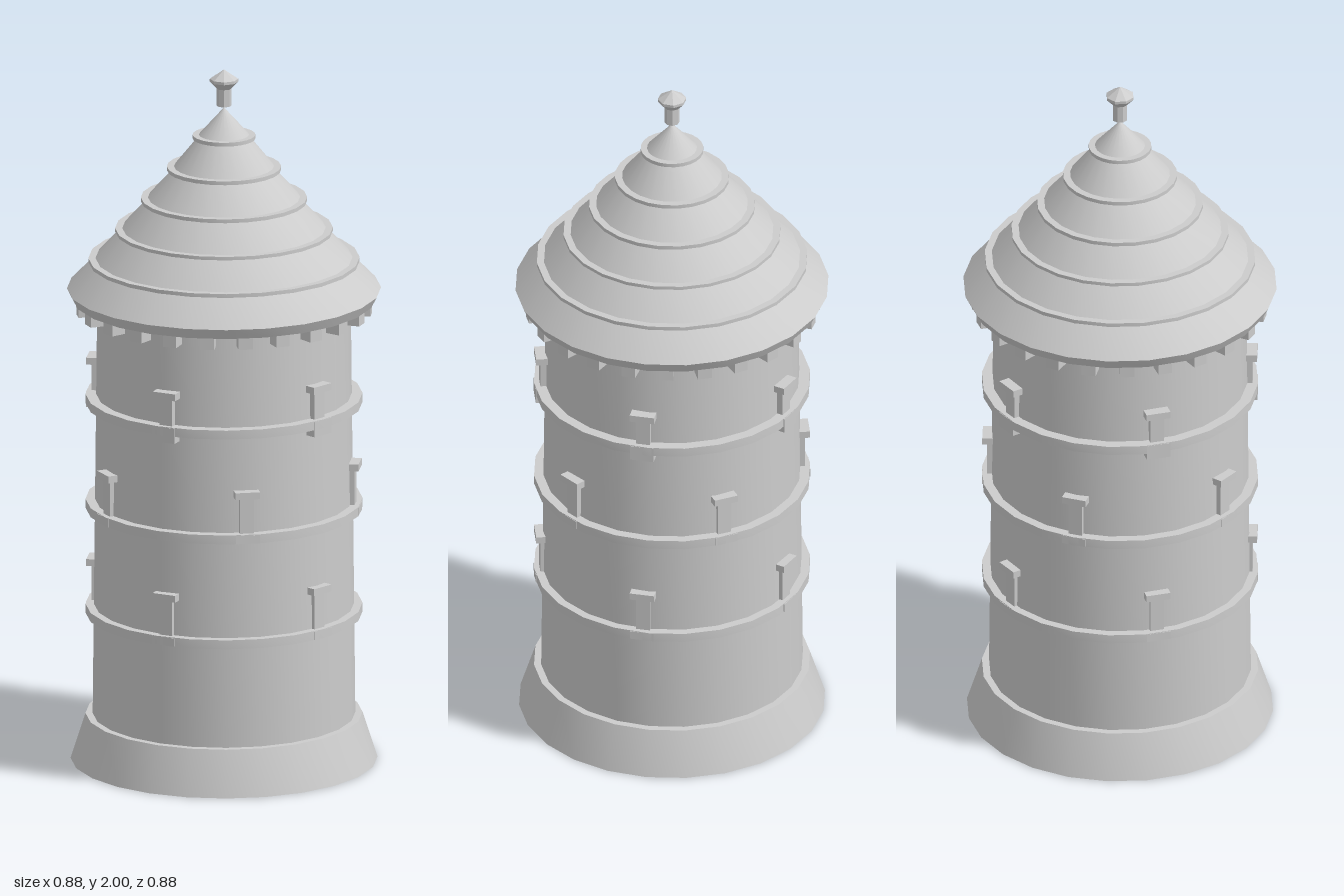
import * as THREE from 'three';
import { toCreasedNormals } from 'three/addons/utils/BufferGeometryUtils.js';

export function createModel() {
  const tower = new THREE.Group();
  tower.name = 'tower';
  const stone = new THREE.MeshStandardMaterial({ color: 0xcccccc });
  stone.name = 'pale stone';

  const add = (name, geometry, parent = tower) => {
    const mesh = new THREE.Mesh(geometry, stone);
    mesh.name = name;
    parent.add(mesh);
    return mesh;
  };
  // Turned part from [radius, height] pairs, listed bottom to top on the outside
  const turned = (name, profile, sides = 24, crease = 0.5) => {
    const points = profile.map(([r, y]) => new THREE.Vector2(r, y));
    return add(name, toCreasedNormals(new THREE.LatheGeometry(points, sides), crease));
  };
  // Box placed at an angle around the tower, spanning inner to outer radius
  const radialBox = (name, parent, angle, width, y0, y1, r0, r1) => {
    const box = add(name, new THREE.BoxGeometry(width, y1 - y0, r1 - r0), parent);
    const r = (r0 + r1) / 2;
    box.position.set(Math.sin(angle) * r, (y0 + y1) / 2, Math.cos(angle) * r);
    box.rotation.y = angle;
  };

  // Flared base and slightly tapering wall
  turned('base', [[0, 0], [0.43, 0], [0.388, 0.13], [0.36, 0.13]]);
  turned('wall', [[0.368, 0.12], [0.355, 1.34]]);

  // Three hoops, each with five posts; alternate levels are turned half a step
  const levels = [
    { y: 0.422, cap: 0.57, foot: 0.422, turn: 0 },
    { y: 0.727, cap: 0.875, foot: 0.727, turn: Math.PI / 5 },
    { y: 1.032, cap: 1.156, foot: 1.012, turn: 0 },
  ];
  levels.forEach(({ y, cap, foot, turn }) => {
    turned('hoop', [[0.35, y], [0.388, y], [0.388, y + 0.026], [0.35, y + 0.026]]);
    for (let i = 0; i < 5; i++) {
      const angle = turn + (i * Math.PI * 2) / 5;
      const post = new THREE.Group();
      post.name = 'post';
      tower.add(post);
      radialBox('postShaft', post, angle, 0.04, y, cap - 0.018, 0.33, 0.372);
      radialBox('postCap', post, angle, 0.07, cap - 0.02, cap, 0.33, 0.385);
      radialBox('postFoot', post, angle, 0.068, foot, y + 0.024, 0.33, 0.386);
    }
  });

  // Row of small blocks under the eaves
  const blocks = 24;
  for (let i = 0; i < blocks; i++) {
    radialBox('eavesBlock', tower, ((i + 0.5) * Math.PI * 2) / blocks, 0.04, 1.3, 1.34, 0.37, 0.415);
  }

  // Stepped conical roof: every tier ends under the lip of the next
  turned('roof', [
    [0, 1.335], [0.425, 1.335], [0.44, 1.365],
    [0.365, 1.442], [0.38, 1.442], [0.38, 1.453], [0.36, 1.453],
    [0.288, 1.53], [0.305, 1.53], [0.305, 1.54], [0.285, 1.54],
    [0.215, 1.618], [0.233, 1.618], [0.233, 1.629], [0.213, 1.629],
    [0.142, 1.708], [0.16, 1.708], [0.16, 1.719], [0.14, 1.719],
    [0.075, 1.8], [0.088, 1.8], [0.088, 1.811], [0.07, 1.811],
    [0, 1.89],
  ]);

  // Finial knob
  turned('finial', [
    [0, 1.895], [0.021, 1.895], [0.021, 1.945], [0.04, 1.965], [0.04, 1.973], [0, 2],
  ], 8, 0.3);

  return tower;
}
